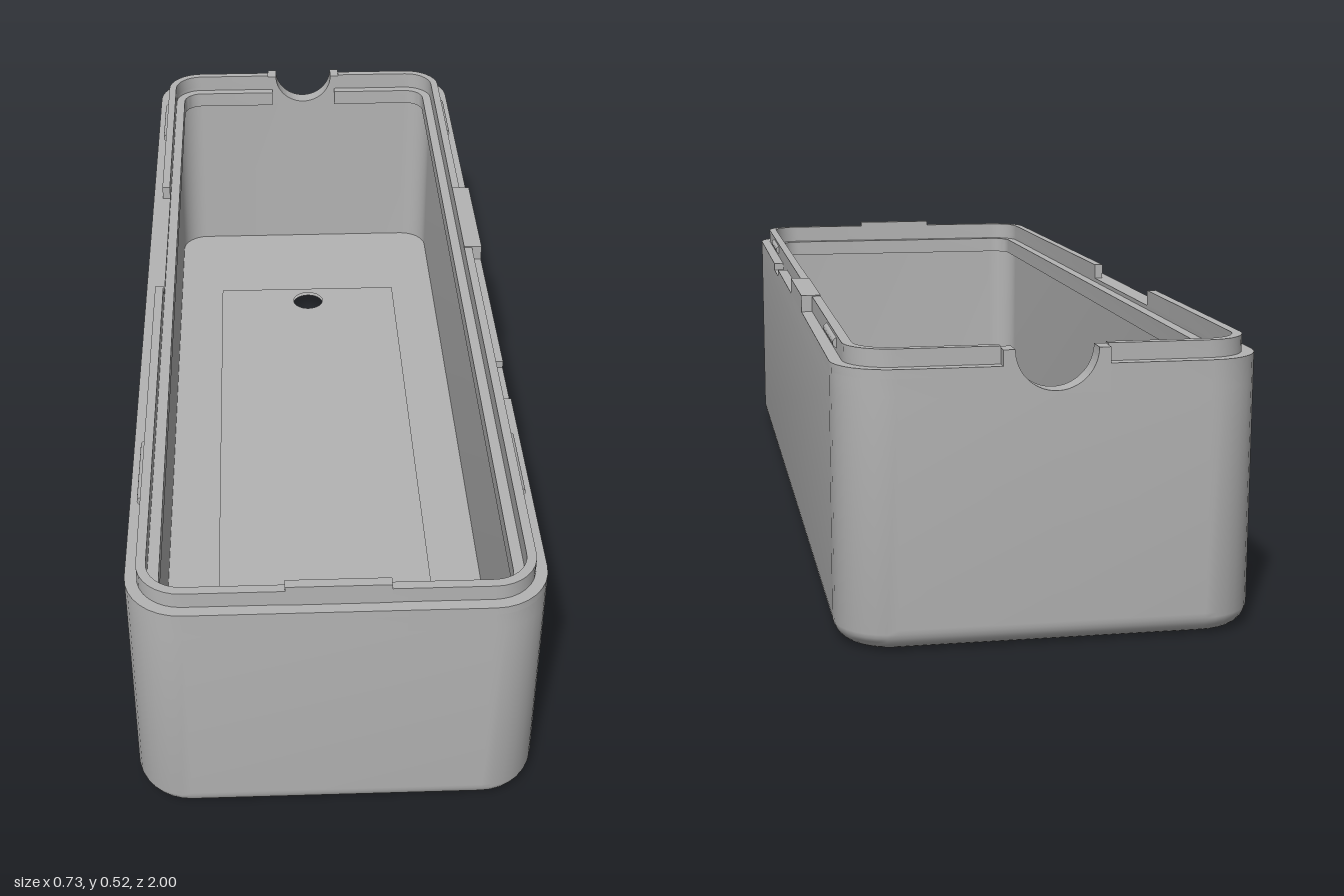
import * as THREE from 'three';
import { toCreasedNormals } from 'three/addons/utils/BufferGeometryUtils.js';

const W = 0.363, L = 1, R = 0.1;
const WALL = 0.038, STEP = 0.021;       // cavity inset, lip inset
const RIM = 0.478, LIP = 0.508, BAND = 0.43, FLOOR = 0.03;

// Points (x, z) along the rounded outline. Sides: 0 back, 1 right, 2 front, 3 left, 4 back.
function outline(inset, s0, c0, s1, c1) {
  const w = W - inset, l = L - inset, r = R - inset;
  const onSide = (s, c) => [[c, -l], [w, c], [c, l], [-w, c]][s % 4];
  const centres = [[w - r, r - l], [w - r, l - r], [r - w, l - r], [r - w, r - l]];
  const pts = [onSide(s0, c0)];
  for (let k = s0; k < s1; k++) {
    for (let i = 0; i <= 8; i++) {
      const a = (k - 1 + i / 8) * Math.PI / 2;
      pts.push([centres[k][0] + r * Math.cos(a), centres[k][1] + r * Math.sin(a)]);
    }
  }
  pts.push(onSide(s1, c1));
  return pts;
}

const toShape = pts => new THREE.Shape(pts.map(([x, z]) => new THREE.Vector2(x, -z)));

// Upright solid from a plan shape
function slab(shape, y0, y1) {
  const g = new THREE.ExtrudeGeometry(shape, { depth: y1 - y0, bevelEnabled: false, curveSegments: 16 });
  g.rotateX(-Math.PI / 2).translate(0, y0, 0);
  return toCreasedNormals(g, 0.5);
}

// Strip of wall between two insets, following part of the outline
function strip(outer, inner, y0, y1, ...run) {
  return slab(toShape([...outline(outer, ...run), ...outline(inner, ...run).reverse()]), y0, y1);
}

// Skin through outline rings, each [inset, y]
function loft(profile) {
  const pos = [], idx = [];
  let n = 0;
  profile.forEach(([inset, y]) => {
    const ring = outline(inset, 0, 0, 4, 0);
    n = ring.length;
    ring.forEach(([x, z]) => pos.push(x, y, z));
  });
  for (let i = 0; i < profile.length - 1; i++) {
    for (let k = 0; k < n - 1; k++) {
      const a = i * n + k, c = a + n;
      idx.push(a, c, a + 1, a + 1, c, c + 1);
    }
  }
  const g = new THREE.BufferGeometry();
  g.setAttribute('position', new THREE.Float32BufferAttribute(pos, 3));
  g.setIndex(idx);
  return toCreasedNormals(g, 0.5);
}

export function createModel() {
  const model = new THREE.Group();
  model.name = 'enclosureBase';
  const grey = new THREE.MeshStandardMaterial({ color: 0xb4b4b4 });
  grey.name = 'grey plastic';
  const add = (name, geometry) => {
    const mesh = new THREE.Mesh(geometry, grey);
    mesh.name = name;
    model.add(mesh);
    return mesh;
  };
  const box = (name, x0, x1, y0, y1, z0, z1) =>
    add(name, new THREE.BoxGeometry(x1 - x0, y1 - y0, z1 - z0))
      .position.set((x0 + x1) / 2, (y0 + y1) / 2, (z0 + z1) / 2);

  // Walls with a rounded bottom edge
  const profile = [];
  for (let i = 0; i <= 8; i++) {
    const a = i / 8 * Math.PI / 2;
    profile.push([0.04 * (1 - Math.sin(a)), 0.04 * (1 - Math.cos(a))]);
  }
  profile.push([0, BAND], [WALL, BAND], [WALL, FLOOR], [0.04, FLOOR]);
  add('walls', loft(profile));

  // Floor and its raised panel, with two screw holes
  const drill = shape => {
    for (const z of [-0.62, 0.86]) {
      shape.holes.push(new THREE.Path().absarc(0, -z, 0.037, 0, Math.PI * 2, true));
    }
    return shape;
  };
  add('floor', slab(drill(toShape(outline(0.04, 0, 0, 4, 0).slice(0, -1))), 0, FLOOR));
  const panel = toShape([[-0.22, -0.675], [0.22, -0.675], [0.22, 0.91], [-0.22, 0.91]]);
  add('floorPanel', slab(drill(panel), FLOOR, FLOOR + 0.008));

  // Top of the walls, open at the back; the outer half has a small notch on the left side
  const g = 0.09;
  add('wallTopLeft', strip(0, WALL, BAND, 0.463, 0, g, 2, 0));
  add('wallTopRight', strip(0, WALL, BAND, RIM, 2, 0, 4, -g));
  add('wallEdgeBack', strip(0, STEP, 0.463, RIM, 0, g, 1, 0.29));
  add('wallEdgeFront', strip(0, STEP, 0.463, RIM, 1, 0.415, 2, 0));

  // Raised lip with a gap on the right side
  add('lipLeft', strip(STEP, WALL, 0.463, LIP, 0, g, 2, 0));
  add('lipFront', strip(STEP, WALL, RIM, LIP, 2, 0, 3, 0.03));
  add('lipBack', strip(STEP, WALL, RIM, LIP, 3, -0.39, 4, -g));

  // Inner ledge under the lip
  add('ledgeLeft', strip(WALL, 0.058, 0.435, 0.47, 0, 0.08, 2, 0));
  add('ledgeRight', strip(WALL, 0.058, 0.435, 0.47, 2, 0, 4, -0.08));

  // Cable cradle in the back wall
  const cradle = new THREE.Shape();
  cradle.moveTo(-g, BAND).lineTo(g, BAND).lineTo(g, 0.505).lineTo(0.07, 0.505);
  cradle.absarc(0, 0.505, 0.07, 0, -Math.PI, true);
  cradle.lineTo(-g, 0.505).closePath();
  const cradleGeo = new THREE.ExtrudeGeometry(cradle, { depth: WALL, bevelEnabled: false, curveSegments: 24 });
  add('cableCradle', toCreasedNormals(cradleGeo.translate(0, 0, -L), 0.5));

  // Locating tabs
  box('sideTab', W - WALL, W, RIM, 0.51, -0.36, -0.1);
  box('frontTab', -0.09, 0.09, RIM - 0.001, 0.518, L - WALL, L - 0.02);

  // Snap ridges on both long sides
  for (const side of [-1, 1]) {
    for (const z of [-0.74, 0.637]) {
      const ridge = add('snapRidge', new THREE.CylinderGeometry(0.009, 0.009, 0.165, 16));
      ridge.rotation.x = Math.PI / 2;
      ridge.position.set(side * 0.34, 0.494, z);
    }
  }
  return model;
}
